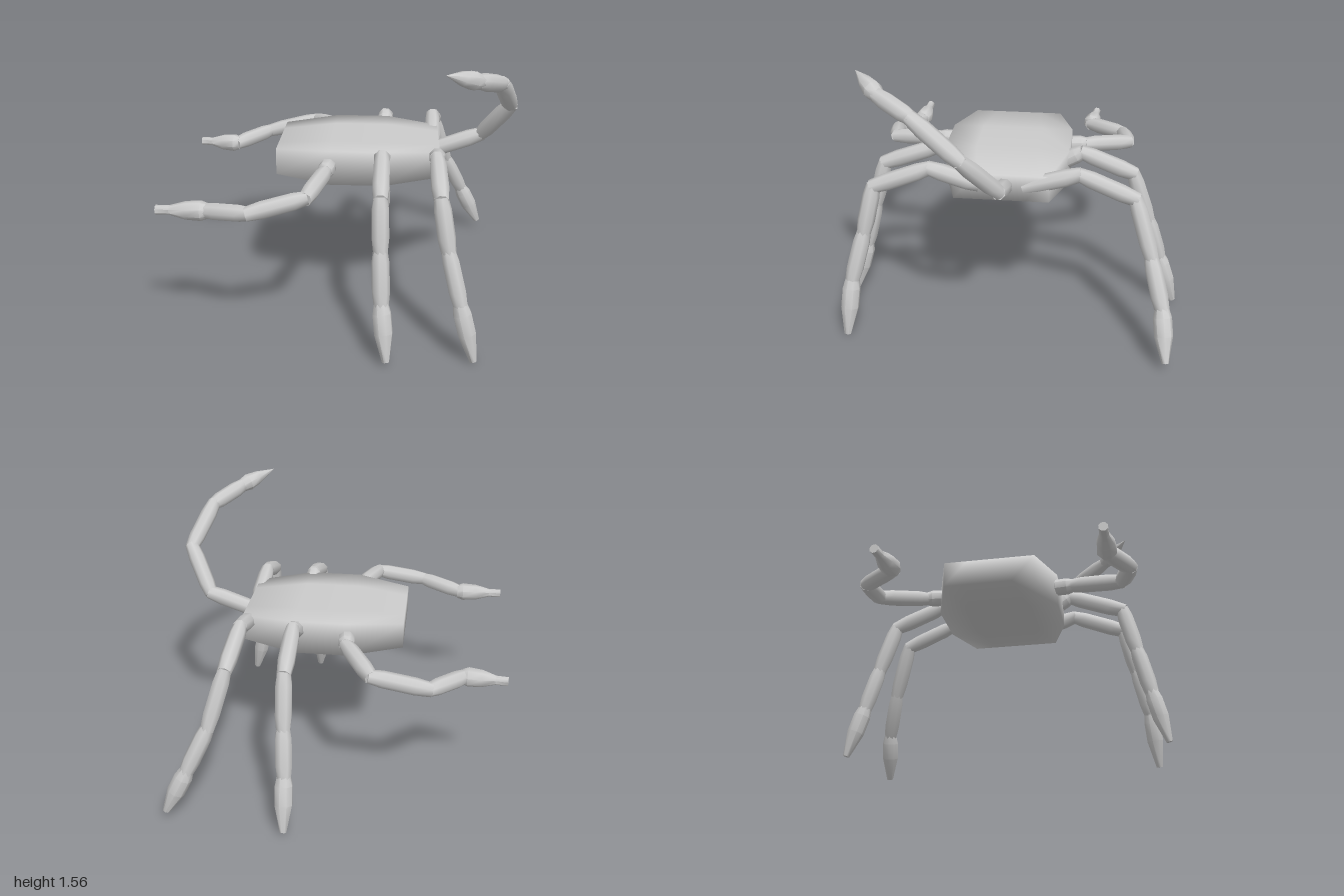
import * as THREE from 'three';
import { mergeVertices, toCreasedNormals } from 'three/addons/utils/BufferGeometryUtils.js';

const material = new THREE.MeshStandardMaterial({ color: 0xcccccc });

// Profiles as [radius, fraction of length]
const SEGMENT = [[0, -0.04], [0.038, -0.04], [0.048, 0.2], [0.049, 0.75], [0.04, 1.04], [0, 1.04]];
const FOOT = [[0, -0.08], [0.036, -0.08], [0.052, 0.15], [0.052, 0.5], [0.02, 1], [0, 1]];
const CLAW = [[0, -0.06], [0.042, -0.06], [0.056, 0.08], [0.05, 0.4], [0.026, 0.72], [0.026, 1], [0, 1]];
const STINGER = [[0, -0.06], [0.038, -0.06], [0.052, 0.2], [0.04, 0.5], [0, 1]];

// Eight-sided link between two points
function link(name, a, b, profile) {
  const dir = b.clone().sub(a);
  const length = dir.length();
  const points = profile.map(([r, t]) => new THREE.Vector2(r, t * length));
  const lathe = new THREE.LatheGeometry(points, 8, Math.PI / 8);
  const mesh = new THREE.Mesh(toCreasedNormals(lathe, 0.8), material);
  mesh.name = name;
  mesh.position.copy(a);
  mesh.quaternion.setFromUnitVectors(new THREE.Vector3(0, 1, 0), dir.normalize());
  return mesh;
}

// Jointed limb through a list of joints, with a special last link
function limb(name, joints, endName, endProfile) {
  const group = new THREE.Group();
  group.name = name;
  const pts = joints.map((p) => new THREE.Vector3(...p));
  for (let i = 0; i < pts.length - 1; i++) {
    const last = i === pts.length - 2;
    group.add(link(last ? endName : `${name}Segment${i + 1}`, pts[i], pts[i + 1], last ? endProfile : SEGMENT));
  }
  return group;
}

// Flat shell, narrower and thinner at both ends
function makeBody() {
  const box = new THREE.BoxGeometry(0.94, 0.2, 0.72, 3, 1, 4);
  const pos = box.attributes.position;
  for (let i = 0; i < pos.count; i++) {
    if (Math.abs(pos.getX(i)) > 0.4) {
      pos.setY(i, pos.getY(i) * 0.76);
      pos.setZ(i, pos.getZ(i) * 0.74);
    }
  }
  box.deleteAttribute('normal');
  box.deleteAttribute('uv');
  const geometry = mergeVertices(box);
  geometry.computeVertexNormals();
  const body = new THREE.Mesh(geometry, material);
  body.name = 'body';
  body.position.set(0.08, 0.91, 0.03);
  return body;
}

export function createModel() {
  const model = new THREE.Group();
  model.name = 'creature';
  model.add(makeBody());

  // Walking legs
  const legs = {
    frontMiddleLeg: [[0.22, 0.93, 0.33], [0.225, 1.0, 0.43], [0.225, 0.88, 0.76], [0.23, 0.61, 0.83], [0.24, 0.33, 0.9], [0.27, 0.03, 0.98]],
    frontOuterLeg: [[0.54, 0.92, 0.16], [0.53, 1.0, 0.43], [0.545, 0.88, 0.75], [0.59, 0.61, 0.81], [0.66, 0.33, 0.88], [0.74, 0.01, 0.91]],
    backMiddleLeg: [[0.22, 0.93, -0.28], [0.225, 1.0, -0.4], [0.225, 0.88, -0.7], [0.22, 0.59, -0.8], [0.21, 0.33, -0.88], [0.205, 0.03, -0.98]],
    backOuterLeg: [[0.52, 0.91, -0.1], [0.525, 1.0, -0.4], [0.55, 0.88, -0.71], [0.64, 0.57, -0.81], [0.76, 0.32, -0.88], [0.89, 0.06, -0.91]],
  };
  for (const [name, joints] of Object.entries(legs)) model.add(limb(name, joints, 'foot', FOOT));

  // Arms ending in claws
  const arms = {
    frontArm: [[-0.08, 0.92, 0.36], [-0.09, 0.92, 0.48], [-0.17, 0.88, 0.78], [-0.47, 0.81, 0.84], [-0.72, 0.775, 0.73], [-0.99, 0.775, 0.73]],
    backArm: [[-0.07, 0.92, -0.3], [-0.08, 0.92, -0.41], [-0.24, 0.875, -0.67], [-0.56, 0.8, -0.64], [-0.75, 0.775, -0.43], [-0.99, 0.775, -0.46]],
  };
  for (const [name, joints] of Object.entries(arms)) model.add(limb(name, joints, 'claw', CLAW));

  // Curled tail with stinger
  model.add(limb('tail', [[0.52, 0.91, 0.01], [0.8, 1.01, 0.01], [0.945, 1.24, 0.18], [0.86, 1.43, 0.44], [0.72, 1.49, 0.64], [0.54, 1.56, 0.8]], 'stinger', STINGER));
  return model;
}
